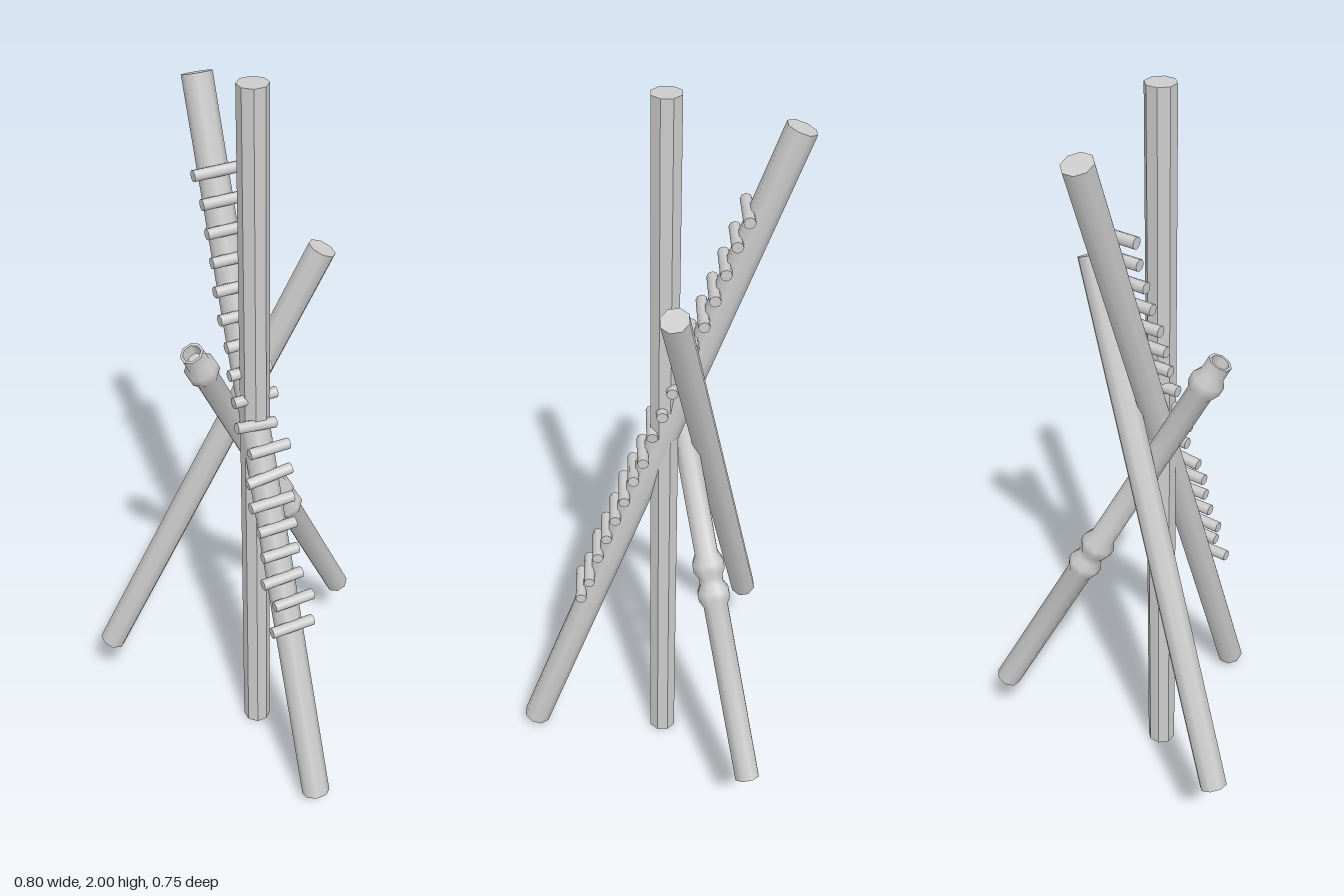
import * as THREE from 'three';
import { toCreasedNormals } from 'three/addons/utils/BufferGeometryUtils.js';

const UP = new THREE.Vector3(0, 1, 0);
const SIDES = 8;
const R = 0.0385; // corner radius of an eight-sided pole, 0.071 across flats

const smoothMat = new THREE.MeshStandardMaterial({ color: 0xcccccc });
const flatMat = new THREE.MeshStandardMaterial({ color: 0xcccccc, flatShading: true });

const vec = (a) => new THREE.Vector3(...a);

// Straight eight-sided pole between two end points
function pole(name, from, to, radius, material) {
  const a = vec(from), b = vec(to);
  const geo = new THREE.CylinderGeometry(radius, radius, a.distanceTo(b), SIDES);
  geo.rotateY(Math.PI / SIDES);
  const mesh = new THREE.Mesh(geo, material);
  mesh.name = name;
  mesh.position.copy(a).lerp(b, 0.5);
  mesh.quaternion.setFromUnitVectors(UP, b.sub(a).normalize());
  return mesh;
}

// Turned shaft with a double-collared joint and a hollow, collared mouth
function turnedPipe(name, from, to) {
  const a = vec(from), dir = vec(to).sub(a);
  const L = dir.length();
  const profile = [
    [0, 0], [0.035, 0], [0.035, 0.5],
    [0.045, 0.52], [0.045, 0.54], [0.034, 0.56], [0.034, 0.58],
    [0.045, 0.6], [0.045, 0.62], [0.033, 0.645],
    [0.033, L - 0.105], [0.043, L - 0.085], [0.043, L - 0.06], [0.031, L - 0.04],
    [0.031, L], [0.024, L], [0.022, L - 0.03], [0, L - 0.03],
  ].map(([r, y]) => new THREE.Vector2(r, y));
  const geo = new THREE.LatheGeometry(profile, SIDES).rotateY(Math.PI / SIDES);
  const mesh = new THREE.Mesh(toCreasedNormals(geo, 1.0), smoothMat);
  mesh.name = name;
  mesh.position.copy(a);
  mesh.quaternion.setFromUnitVectors(UP, dir.normalize());
  return mesh;
}

// Left end, right end and tilt of each rung, from the bottom up
const RUNGS = [
  [-0.088, 0.035, 0], [-0.068, 0.047, 0.02], [-0.09, 0.025, 0.03],
  [-0.078, 0.025, 0], [-0.078, 0.03, 0], [-0.088, 0.035, 0],
  [-0.085, 0.042, 0.1], [-0.066, 0.047, 0], [-0.09, 0.02, -0.12],
  [-0.085, 0.035, 0], [-0.085, 0.03, 0], [-0.08, 0.035, 0],
  [-0.085, 0.04, 0], [-0.085, 0.046, 0], [-0.08, 0.04, 0],
  [-0.08, 0.035, 0], [-0.08, 0.025, 0], [-0.09, 0.035, 0],
];

export function createModel() {
  const model = new THREE.Group();
  model.name = 'crossedPoles';

  model.add(pole('uprightPole', [-0.022, 0, -0.035], [-0.022, 2, -0.035], R, flatMat));
  model.add(pole('rungPole', [-0.022, 0.037, 0.342], [-0.022, 1.915, -0.339], R, smoothMat));
  model.add(pole('leaningPole', [-0.371, 0.232, -0.297], [0.172, 1.535, -0.051], 0.037, smoothMat));
  model.add(turnedPipe('turnedPipe', [0.368, 0.195, -0.256], [-0.193, 1.345, -0.033]));

  // Short rungs half sunk into the upper face of the rung pole
  const rungs = new THREE.Group();
  rungs.name = 'rungs';
  RUNGS.forEach(([x0, x1, tilt], i) => {
    const t = i / (RUNGS.length - 1);
    const geo = new THREE.CylinderGeometry(0.015, 0.015, x1 - x0, SIDES).rotateZ(Math.PI / 2);
    const rung = new THREE.Mesh(geo, smoothMat);
    rung.name = 'rung';
    rung.position.set((x0 + x1) / 2, 0.556 + 1.152 * t, 0.194 - 0.42 * t);
    rung.rotation.z = tilt;
    rungs.add(rung);
  });
  model.add(rungs);
  return model;
}
